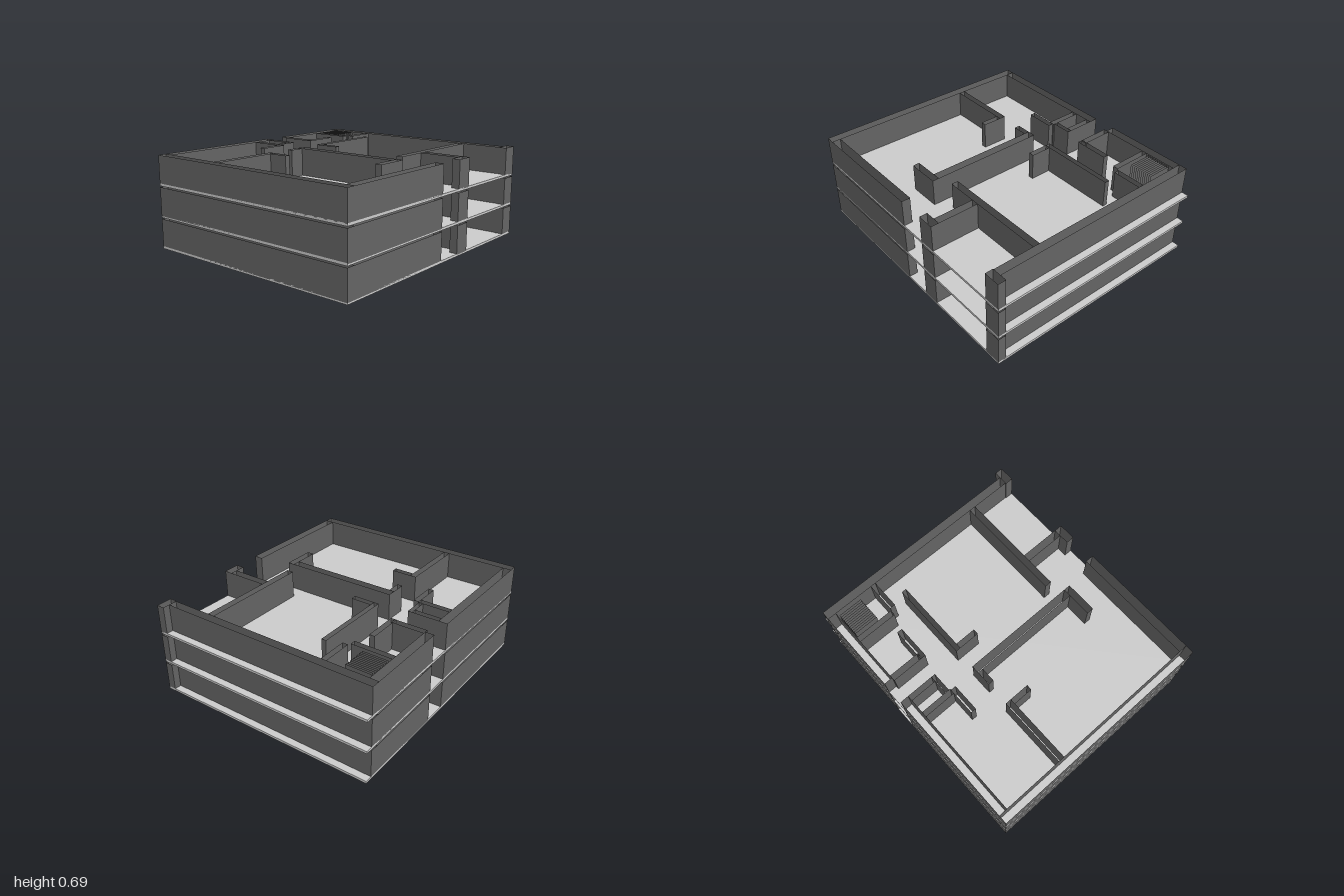
import * as THREE from 'three';

const slabMat = new THREE.MeshStandardMaterial({ color: 0xcccccc });
const wallMat = new THREE.MeshStandardMaterial({ color: 0x646464, side: THREE.DoubleSide });

const STOREY = 0.2335, SLAB = 0.018, WALL_BASE = 0.011, WALL_TOP = 0.2235;

// Hollow wall: four upright faces, open at top and bottom
function wall(name, x0, x1, z0, z1) {
  const h = WALL_TOP - WALL_BASE;
  const geo = new THREE.BoxGeometry(x1 - x0, h, z1 - z0);
  const idx = Array.from(geo.index.array);
  geo.setIndex([...idx.slice(0, 12), ...idx.slice(24)]);
  geo.clearGroups();
  const mesh = new THREE.Mesh(geo, wallMat);
  mesh.position.set((x0 + x1) / 2, WALL_BASE + h / 2, (z0 + z1) / 2);
  mesh.name = name;
  return mesh;
}

// Floor plan: name, x from, x to, z from, z to
const plan = [
  // outer walls
  ['leftOuterWall', -1, -0.935, -0.87, 0.87],
  ['rightOuterWall', 0.885, 0.948, -0.87, 0.81],
  ['backWallWide', -0.935, 0.07, -0.87, -0.805],
  ['backWallNarrow', 0.245, 0.885, -0.87, -0.805],
  ['frontWall', -0.935, 0, 0.805, 0.87],
  ['frontPier', 0.205, 0.335, 0.81, 0.87],
  ['frontCornerPier', 0.88, 1, 0.81, 0.87],
  // front rooms
  ['entryWall', 0.28, 0.335, 0.5, 0.81],
  ['frontRoomWall', 0.05, 0.885, 0.45, 0.5],
  ['middleWall', -0.12, -0.06, -0.34, 0.53],
  ['middleWallReturn', -0.3, -0.06, 0.53, 0.58],
  // middle rooms
  ['westPartition', -0.935, -0.41, -0.345, -0.3],
  ['westPartitionReturn', -0.45, -0.41, -0.3, -0.15],
  ['eastPartition', 0.1, 0.7, -0.35, -0.315],
  ['eastPartitionReturn', 0.1, 0.14, -0.315, -0.155],
  ['doorStub', -0.23, -0.12, -0.34, -0.3],
  // back rooms
  ['westClosetWall', -0.3, -0.09, -0.56, -0.52],
  ['westClosetSide', -0.12, -0.08, -0.805, -0.56],
  ['westDuctFront', -0.08, 0.07, -0.6, -0.57],
  ['westDuctSide', 0.03, 0.07, -0.805, -0.6],
  ['eastClosetSide', 0.22, 0.265, -0.805, -0.56],
  ['eastClosetWall', 0.22, 0.48, -0.57, -0.53],
  ['shaftSide', 0.6, 0.64, -0.805, -0.5],
  ['shaftFront', 0.66, 0.885, -0.49, -0.45],
];

// Close rows of upright slats in the back corner shaft
function slats() {
  const group = new THREE.Group();
  group.name = 'shaftSlats';
  const h = WALL_TOP - WALL_BASE;
  for (let i = 0; i < 12; i++) {
    const slat = new THREE.Mesh(new THREE.PlaneGeometry(0.19, h), wallMat);
    slat.rotation.y = Math.PI / 2;
    slat.position.set(0.67 + i * 0.0165, WALL_BASE + h / 2, -0.7);
    slat.name = 'slat';
    group.add(slat);
  }
  return group;
}

export function createModel() {
  const model = new THREE.Group();
  model.name = 'building';
  for (let i = 0; i < 3; i++) {
    const storey = new THREE.Group();
    storey.name = 'storey';
    storey.position.y = i * STOREY;
    const slab = new THREE.Mesh(new THREE.BoxGeometry(2, SLAB, 1.74), slabMat);
    slab.position.y = SLAB / 2;
    slab.name = 'floorSlab';
    storey.add(slab, slats(), ...plan.map((p) => wall(...p)));
    model.add(storey);
  }
  return model;
}
